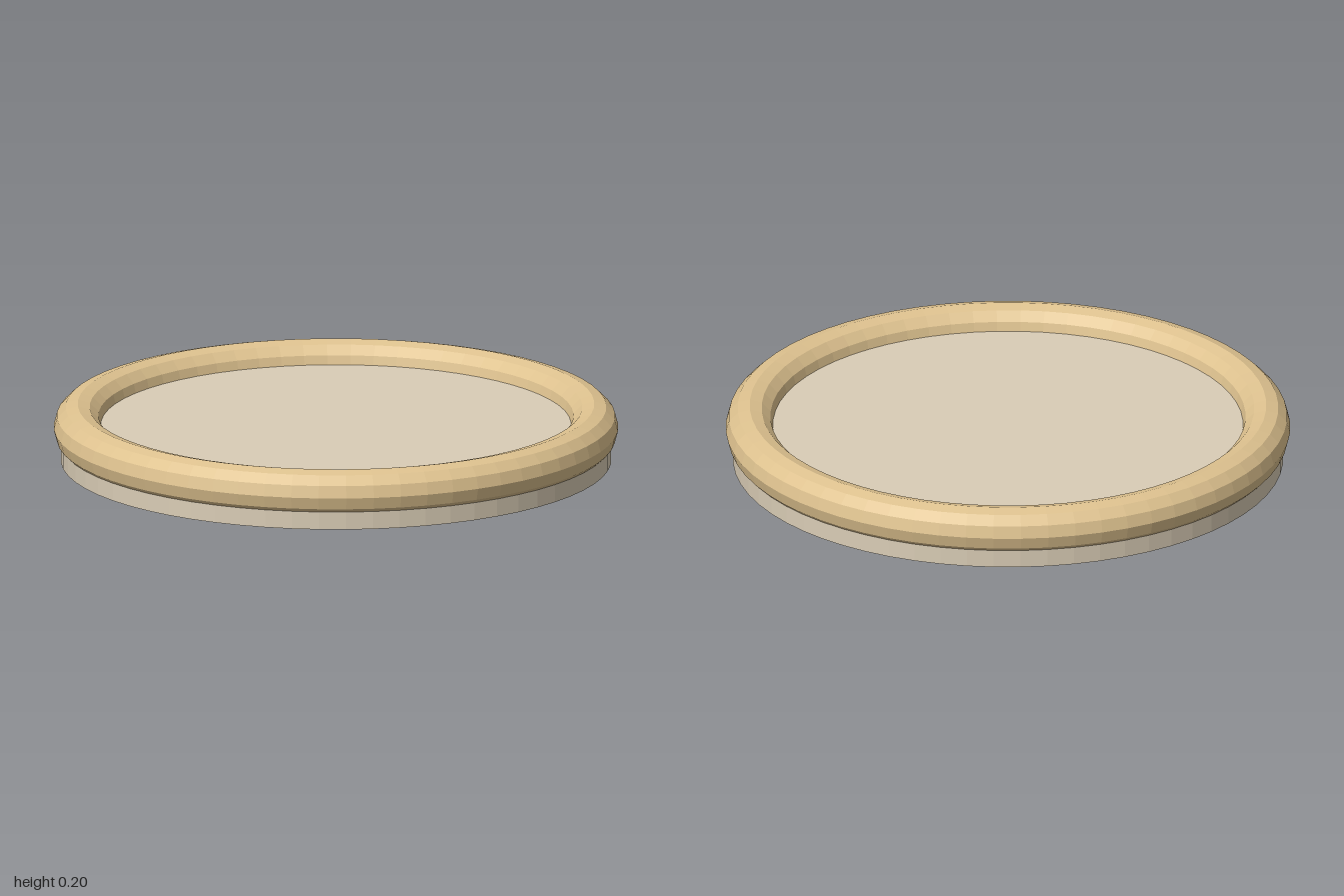
import * as THREE from 'three';

export function createModel() {
  const model = new THREE.Group();
  const cream = new THREE.MeshStandardMaterial({ color: 0xdacdb6, flatShading: true });
  cream.name = 'cream';
  const tan = new THREE.MeshStandardMaterial({ color: 0xdec28f, flatShading: true });
  tan.name = 'tan';

  const sides = 64;
  const plateHeight = 0.13;
  const rimRadius = 0.915;
  const rimTube = 0.085;

  // Solid round plate, its top showing inside the rim
  const plate = new THREE.Mesh(new THREE.CylinderGeometry(0.975, 0.975, plateHeight, sides), cream);
  plate.name = 'plate';
  plate.position.y = plateHeight / 2;
  model.add(plate);

  // Faceted round rim, sunk partly into the plate
  const rimGeometry = new THREE.TorusGeometry(rimRadius, rimTube, 12, sides);
  rimGeometry.rotateX(-Math.PI / 2);
  const rim = new THREE.Mesh(rimGeometry, tan);
  rim.name = 'rim';
  rim.position.y = 0.12;
  model.add(rim);

  return model;
}
